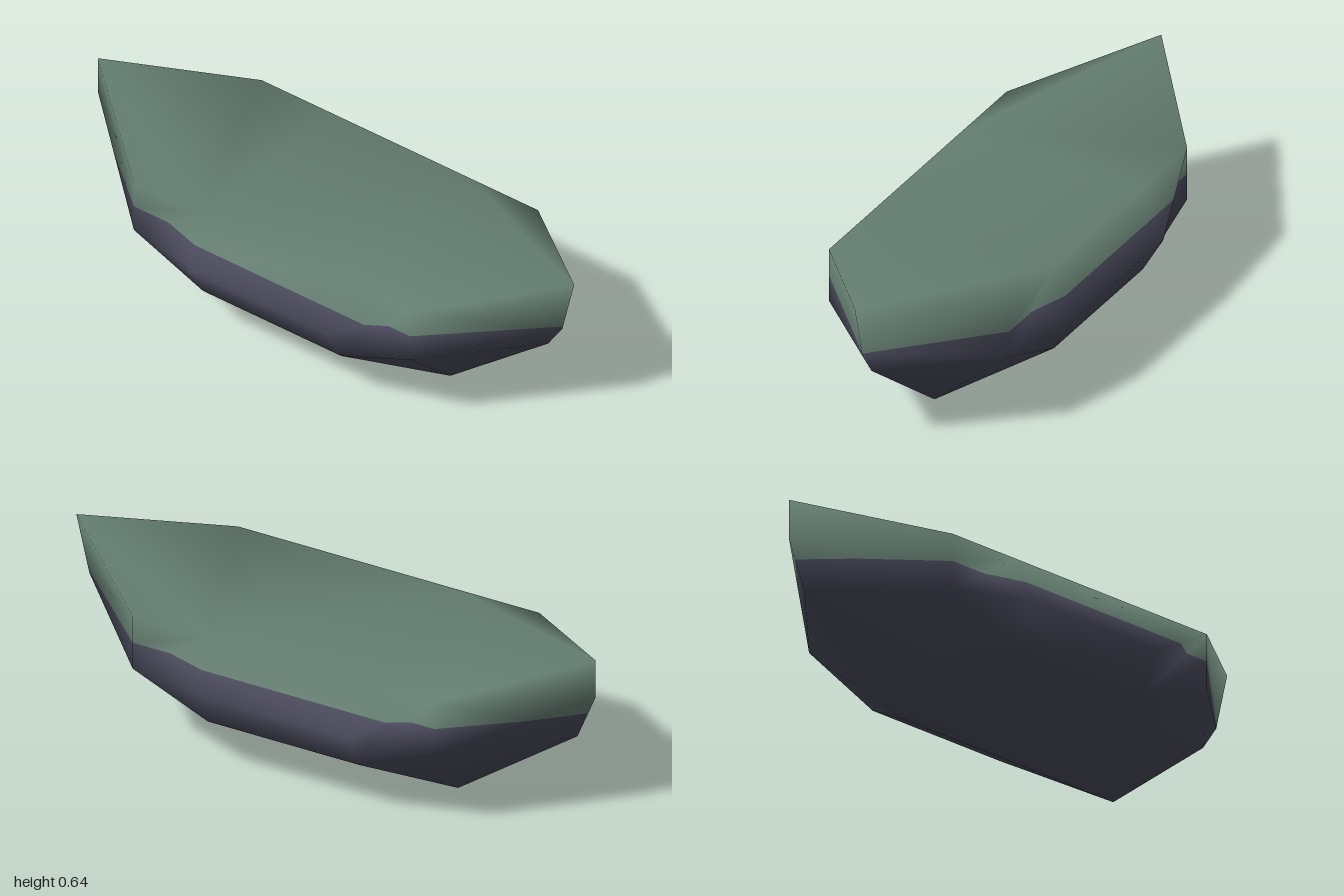
import * as THREE from 'three';

const PAINT_LINE = 0.43;

// Smooth closed hull with a deck, as one indexed geometry.
function buildHull() {
  const pos = [], index = [];
  const add = (x, y, z) => pos.push(x, y, z) / 3 - 1;
  const vec = i => new THREE.Vector3().fromArray(pos, i * 3);
  const centre = new THREE.Vector3(0, 0.35, 0);

  // Adds a triangle, wound so that it faces away from the centre.
  const tri = (a, b, c) => {
    const A = vec(a), B = vec(b), C = vec(c);
    const n = B.clone().sub(A).cross(C.clone().sub(A));
    const out = A.add(B).add(C).divideScalar(3).sub(centre);
    index.push(...(n.dot(out) < 0 ? [a, c, b] : [a, b, c]));
  };
  const quad = (a, b, c, d) => { tri(a, b, c); tri(a, c, d); };

  // Each end: stem points on the centre line, and points on both sides.
  const ends = [1, -1].map(e => {
    const [tip, stem, foot, keel] = (e > 0
      ? [[0.63, 1], [0.42, 0.95], [0.33, 0.89], [0, 0.48]]
      : [[0.64, -1], [0.5, -1], [0.33, -0.93], [0, -0.47]]
    ).map(([y, z]) => add(0, y, z));
    const sides = [1, -1].map(s => ({
      rim: add(0.35 * s, 0.53, 0.29 * e),
      belly: add(0.43 * s, 0.35, 0.29 * e),
      bilge: add(0.35 * s, 0.21, 0.29 * e),
      rimEnd: add(0.35 * s, 0.53, 0.58 * e),
      lowEnd: add(0.35 * s, 0.33, 0.58 * e),
    }));
    return { e, tip, stem, foot, keel, sides };
  });

  for (const { e, tip, stem, foot, keel, sides } of ends) {
    sides.forEach((p, i) => {
      // Bow or stern panels
      tri(keel, foot, p.lowEnd);
      tri(keel, p.lowEnd, p.bilge);
      tri(p.lowEnd, foot, stem);
      tri(p.rimEnd, p.lowEnd, stem);
      tri(p.rimEnd, stem, tip);
      // Shoulder panels
      if (e * (i ? -1 : 1) > 0) {
        tri(p.bilge, p.lowEnd, p.belly);
        tri(p.belly, p.lowEnd, p.rim);
        tri(p.rim, p.lowEnd, p.rimEnd);
      } else {
        tri(p.bilge, p.lowEnd, p.rimEnd);
        tri(p.bilge, p.rimEnd, p.belly);
        tri(p.belly, p.rimEnd, p.rim);
      }
    });
    // Raised end of the deck
    const [near, far] = e > 0 ? sides : [sides[1], sides[0]];
    tri(near.rim, near.rimEnd, tip);
    tri(near.rim, tip, far.rimEnd);
    tri(near.rim, far.rimEnd, far.rim);
  }

  // Middle side panels, bottom and deck
  const [front, back] = ends;
  [0, 1].forEach(i => {
    const f = front.sides[i], b = back.sides[i];
    quad(f.rim, b.rim, b.belly, f.belly);
    quad(f.belly, b.belly, b.bilge, f.bilge);
    quad(f.bilge, b.bilge, back.keel, front.keel);
  });
  quad(front.sides[0].rim, back.sides[0].rim, back.sides[1].rim, front.sides[1].rim);

  const geo = new THREE.BufferGeometry();
  geo.setAttribute('position', new THREE.Float32BufferAttribute(pos, 3));
  geo.setIndex(index);
  geo.computeVertexNormals();
  return geo;
}

// Keeps the part above (side 1) or below (side -1) the paint line, with its normals.
function cutAtPaintLine(geo, side) {
  const src = geo.toNonIndexed();
  const p = src.attributes.position, n = src.attributes.normal;
  const outPos = [], outNorm = [];
  for (let t = 0; t < p.count; t += 3) {
    const corners = [0, 1, 2].map(k => ({
      p: new THREE.Vector3().fromBufferAttribute(p, t + k),
      n: new THREE.Vector3().fromBufferAttribute(n, t + k),
    }));
    const poly = [];
    corners.forEach((a, k) => {
      const b = corners[(k + 1) % 3];
      const da = (a.p.y - PAINT_LINE) * side, db = (b.p.y - PAINT_LINE) * side;
      if (da >= 0) poly.push(a);
      if (da * db < 0) {
        const f = da / (da - db);
        poly.push({ p: a.p.clone().lerp(b.p, f), n: a.n.clone().lerp(b.n, f) });
      }
    });
    for (let k = 1; k + 1 < poly.length; k++) {
      for (const v of [poly[0], poly[k], poly[k + 1]]) {
        outPos.push(...v.p.toArray());
        outNorm.push(...v.n.clone().normalize().toArray());
      }
    }
  }
  const out = new THREE.BufferGeometry();
  out.setAttribute('position', new THREE.Float32BufferAttribute(outPos, 3));
  out.setAttribute('normal', new THREE.Float32BufferAttribute(outNorm, 3));
  return out;
}

export function createModel() {
  const green = new THREE.MeshStandardMaterial({ color: 0x647d70 });
  green.name = 'greyGreen';
  const dark = new THREE.MeshStandardMaterial({ color: 0x4a4a5c });
  dark.name = 'darkSlate';

  const hull = buildHull();
  const upper = new THREE.Mesh(cutAtPaintLine(hull, 1), green);
  upper.name = 'deckAndUpperHull';
  const lower = new THREE.Mesh(cutAtPaintLine(hull, -1), dark);
  lower.name = 'lowerHull';

  const group = new THREE.Group();
  group.name = 'boatHull';
  group.add(upper, lower);
  return group;
}
